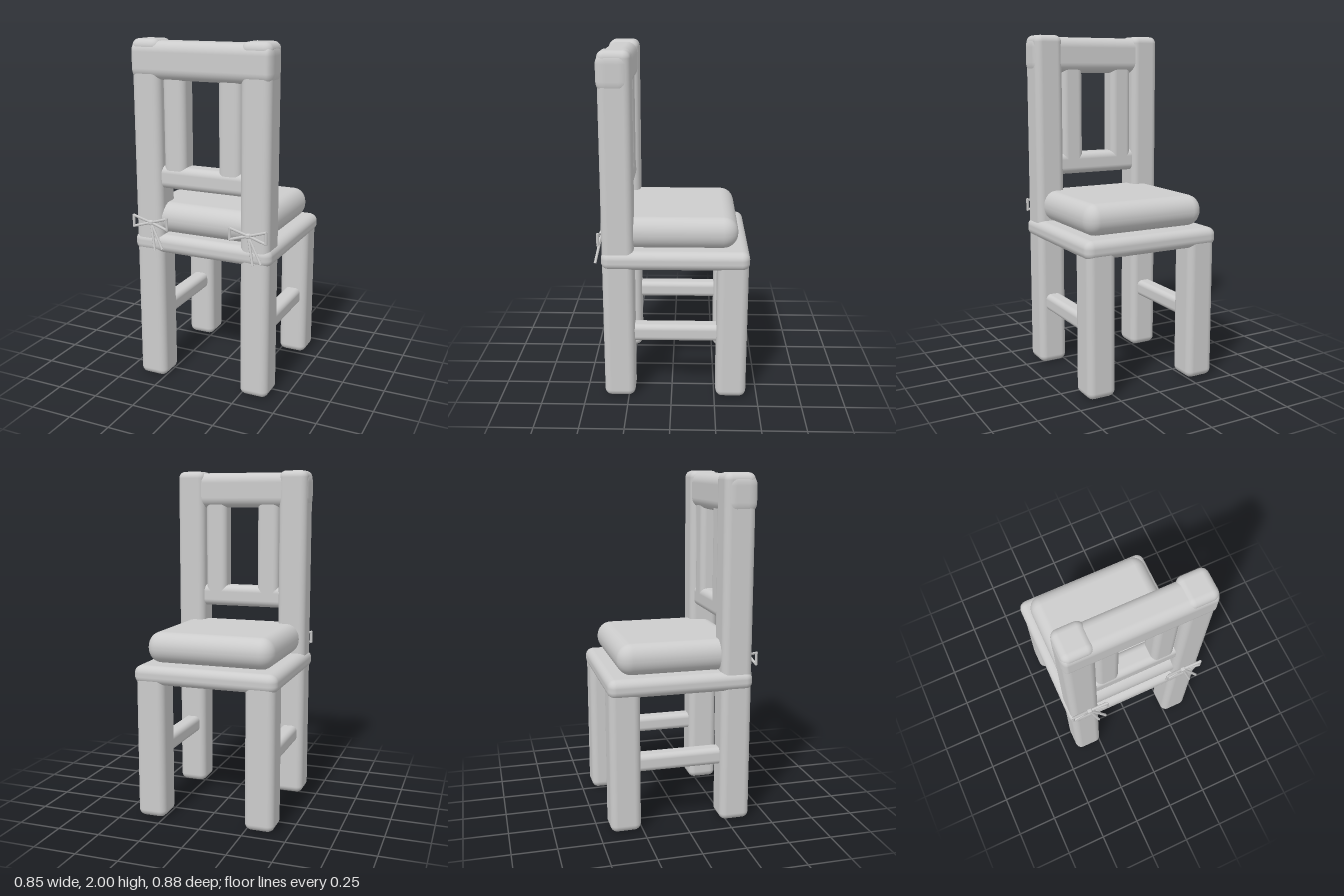
import * as THREE from 'three';
import { RoundedBoxGeometry } from 'three/addons/geometries/RoundedBoxGeometry.js';

const grey = new THREE.MeshStandardMaterial({ color: 0xcccccc });
grey.name = 'plain grey';

// Soft block given by its limits on each axis, with a rounding radius per axis
function softBlock(name, [x0, x1], [y0, y1], [z0, z1], [rx, ry, rz]) {
  const geometry = new RoundedBoxGeometry((x1 - x0) / rx, (y1 - y0) / ry, (z1 - z0) / rz, 4, 1);
  geometry.scale(rx, ry, rz);
  const mesh = new THREE.Mesh(geometry, grey);
  mesh.name = name;
  mesh.position.set((x0 + x1) / 2, (y0 + y1) / 2, (z0 + z1) / 2);
  return mesh;
}

// Straight piece of cord between two points
function cord(name, from, to, radius = 0.008) {
  const a = new THREE.Vector3(...from);
  const b = new THREE.Vector3(...to);
  const dir = b.clone().sub(a);
  const mesh = new THREE.Mesh(new THREE.CylinderGeometry(radius, radius, dir.length() + radius, 6), grey);
  mesh.name = name;
  mesh.position.copy(a).add(b).multiplyScalar(0.5);
  mesh.quaternion.setFromUnitVectors(new THREE.Vector3(0, 1, 0), dir.normalize());
  return mesh;
}

// Tied bow: two triangular loops, a knot and two hanging tails
function bow() {
  const group = new THREE.Group();
  group.name = 'cushionBow';
  const knot = [0, 0, 0];
  for (const s of [-1, 1]) {
    const top = [s * 0.107, 0.035, 0.01];
    const bottom = [s * 0.107, -0.03, 0.01];
    group.add(cord('bowLoop', knot, top), cord('bowLoop', knot, bottom), cord('bowLoop', top, bottom));
  }
  group.add(cord('bowTail', knot, [0.04, -0.15, 0.035]));
  group.add(cord('bowTail', knot, [0.085, -0.14, 0.03]));
  group.add(softBlock('bowKnot', [-0.014, 0.014], [-0.014, 0.014], [-0.01, 0.014], [0.008, 0.008, 0.008]));
  return group;
}

export function createModel() {
  const chair = new THREE.Group();
  chair.name = 'chair';

  // Seat and cushion
  chair.add(softBlock('seat', [-0.425, 0.425], [0.79, 0.9], [-0.44, 0.396], [0.05, 0.045, 0.045]));
  chair.add(softBlock('cushion', [-0.38, 0.38], [0.9, 1.08], [-0.375, 0.375], [0.075, 0.088, 0.085]));

  // Posts, legs, side stretchers and back spindles, mirrored left and right
  for (const s of [-1, 1]) {
    const side = (a, b) => (s > 0 ? [a, b] : [-b, -a]);
    chair.add(softBlock('backPost', side(0.24, 0.412), [0, 2], [0.212, 0.391], [0.04, 0.04, 0.04]));
    chair.add(softBlock('leg', side(0.24, 0.412), [0, 0.86], [-0.435, -0.258], [0.04, 0.04, 0.04]));
    chair.add(softBlock('sideStretcher', side(0.275, 0.375), [0.34, 0.44], [-0.32, 0.28], [0.03, 0.03, 0.03]));
    chair.add(softBlock('backSpindle', side(0.1, 0.235), [1.22, 1.86], [0.235, 0.365], [0.035, 0.035, 0.035]));
  }

  // Rails of the backrest
  chair.add(softBlock('topRail', [-0.417, 0.417], [1.78, 1.99], [0.22, 0.397], [0.03, 0.06, 0.055]));
  chair.add(softBlock('lowerRail', [-0.27, 0.27], [1.17, 1.3], [0.235, 0.37], [0.03, 0.04, 0.04]));

  // Bows tied around the back posts
  for (const x of [-0.305, 0.3]) {
    const tie = bow();
    tie.position.set(x, 0.972, 0.397);
    chair.add(tie);
  }
  return chair;
}
